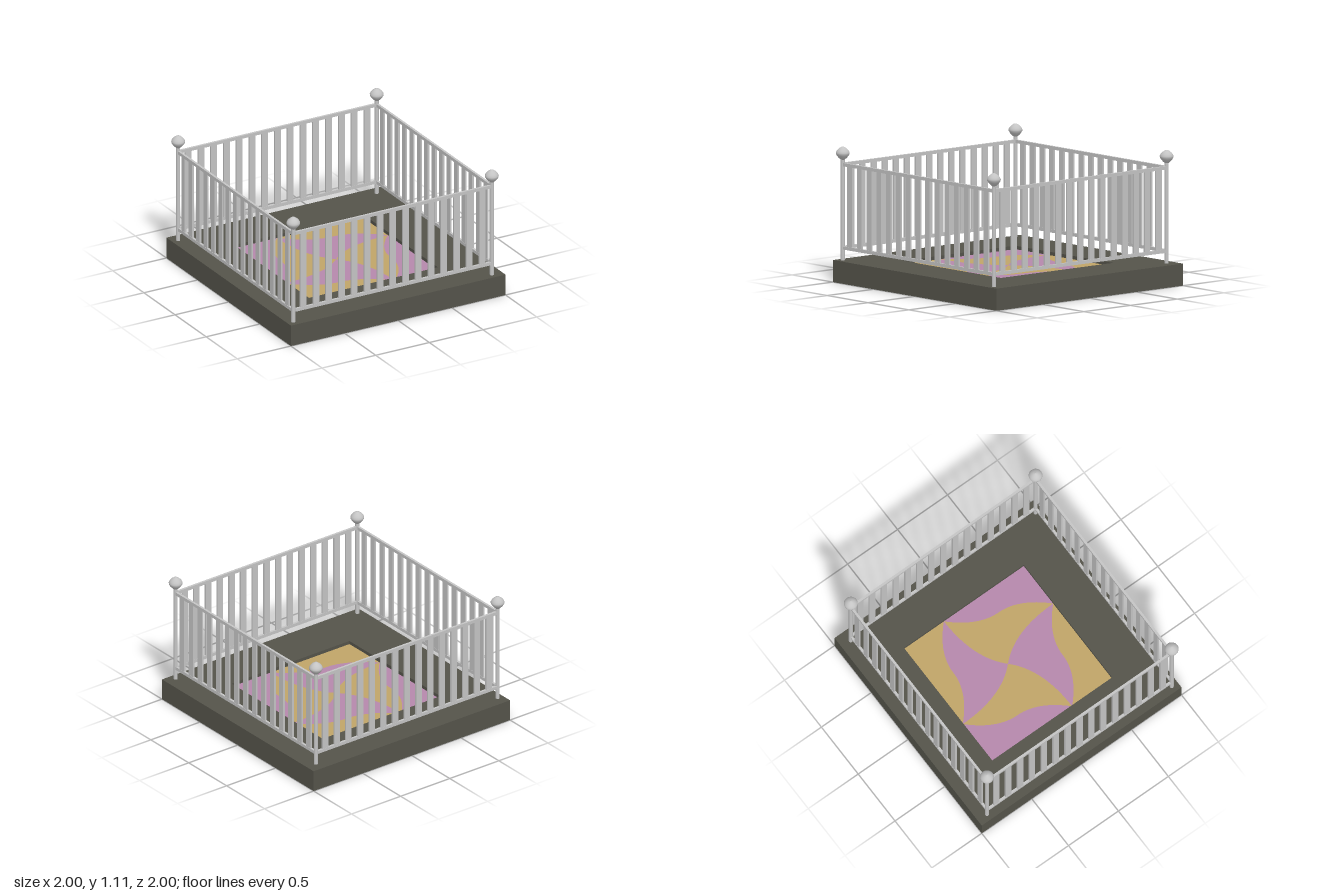
import * as THREE from 'three';

const stone = new THREE.MeshStandardMaterial({ name: 'darkStone', color: 0x54534a });
const metal = new THREE.MeshStandardMaterial({ name: 'greyMetal', color: 0xc4c4c4 });
const mauve = new THREE.MeshStandardMaterial({ name: 'mauveTile', color: 0xb587ab });
const gold = new THREE.MeshStandardMaterial({ name: 'goldTile', color: 0xc0a467 });

const TOP = 0.18, FLOOR = 0.15; // platform top and sunken floor heights
const HALF = 0.925; // half the distance between posts

function add(parent, name, geometry, material, x = 0, y = 0, z = 0) {
  const mesh = new THREE.Mesh(geometry, material);
  mesh.name = name;
  mesh.position.set(x, y, z);
  parent.add(mesh);
  return mesh;
}

function square(path, h) {
  path.moveTo(-h, -h);
  path.lineTo(h, -h);
  path.lineTo(h, h);
  path.lineTo(-h, h);
  path.closePath();
  return path;
}

// Platform with a shallow square recess
function createPlatform() {
  const group = new THREE.Group();
  group.name = 'platform';
  add(group, 'slab', new THREE.BoxGeometry(2, FLOOR, 2), stone, 0, FLOOR / 2, 0);
  const rim = square(new THREE.Shape(), 1);
  rim.holes.push(square(new THREE.Path(), 0.6));
  const rimGeometry = new THREE.ExtrudeGeometry(rim, { depth: TOP - FLOOR, bevelEnabled: false });
  rimGeometry.rotateX(-Math.PI / 2);
  add(group, 'rim', rimGeometry, stone, 0, FLOOR, 0);
  return group;
}

// Pinwheel mosaic: one blade and one corner, turned four times with colours swapped
function createMosaic() {
  const group = new THREE.Group();
  group.name = 'mosaic';
  const blade = new THREE.Shape();
  blade.moveTo(0, 0);
  blade.quadraticCurveTo(0.2, 0.2, 0.6, 0.2);
  blade.quadraticCurveTo(0.4, 0.4, 0.2, 0.4);
  blade.quadraticCurveTo(0, 0.4, -0.2, 0.6);
  blade.quadraticCurveTo(-0.2, 0.2, 0, 0);
  const corner = new THREE.Shape();
  corner.moveTo(0.6, 0.2);
  corner.lineTo(0.6, 0.6);
  corner.lineTo(-0.2, 0.6);
  corner.quadraticCurveTo(0, 0.4, 0.2, 0.4);
  corner.quadraticCurveTo(0.4, 0.4, 0.6, 0.2);
  const [bladeGeometry, cornerGeometry] = [blade, corner].map(
    (s) => new THREE.ShapeGeometry(s, 16).rotateX(-Math.PI / 2));
  for (let k = 0; k < 4; k++) {
    const quarter = new THREE.Group();
    quarter.name = 'mosaicQuarter';
    add(quarter, 'blade', bladeGeometry, k % 2 ? gold : mauve);
    add(quarter, 'corner', cornerGeometry, k % 2 ? mauve : gold);
    quarter.rotation.y = -k * Math.PI / 2;
    group.add(quarter);
  }
  group.position.y = FLOOR + 0.002;
  return group;
}

// One side of the fence: two rails, balusters and a corner post with finial
function createFenceSide() {
  const side = new THREE.Group();
  side.name = 'fenceSide';
  const rail = new THREE.BoxGeometry(HALF * 2, 0.027, 0.02);
  add(side, 'topRail', rail, metal, 0, 0.961, HALF);
  add(side, 'bottomRail', rail, metal, 0, 0.282, HALF);

  const baluster = new THREE.BoxGeometry(0.056, 0.66, 0.016);
  for (let i = 0; i < 15; i++) {
    add(side, 'baluster', baluster, metal, (i - 7) * 0.119, 0.62, HALF);
  }

  const post = new THREE.CylinderGeometry(0.017, 0.017, 0.85, 20);
  add(side, 'post', post, metal, HALF, TOP + 0.425, HALF);
  const profile = [
    [0.016, 1.0], [0.03, 1.012], [0.046, 1.03], [0.055, 1.046], [0.056, 1.058],
    [0.049, 1.073], [0.036, 1.088], [0.018, 1.101], [0, 1.107],
  ].map(([r, y]) => new THREE.Vector2(r, y));
  add(side, 'finial', new THREE.LatheGeometry(profile, 24), metal, HALF, 0, HALF);
  return side;
}

export function createModel() {
  const model = new THREE.Group();
  model.name = 'fencedPlatform';
  model.add(createPlatform(), createMosaic());

  // The fence sits slightly off the platform centre
  const fence = new THREE.Group();
  fence.name = 'fence';
  for (let k = 0; k < 4; k++) {
    const side = createFenceSide();
    side.rotation.y = k * Math.PI / 2;
    fence.add(side);
  }
  fence.position.set(-0.02, 0, 0.018);
  model.add(fence);
  return model;
}
